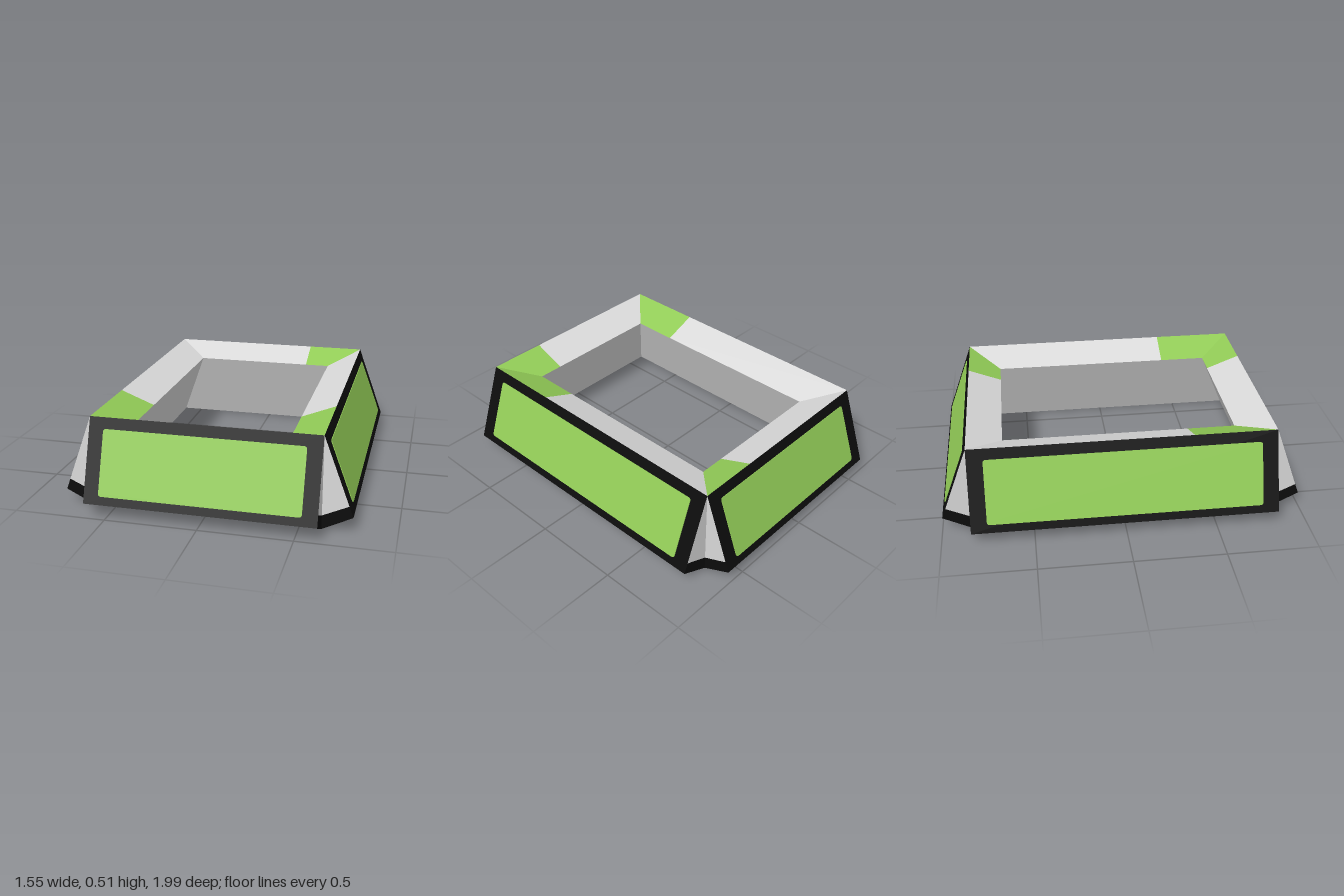
import * as THREE from 'three';

const mat = (name, color) => {
  const m = new THREE.MeshStandardMaterial({ color });
  m.name = name;
  return m;
};

// Flat convex polygon(s), each a counter-clockwise list of [x, y, z] corners
function polygons(name, material, ...faces) {
  const pos = [];
  for (const f of faces)
    for (let i = 1; i < f.length - 1; i++) pos.push(...f[0], ...f[i], ...f[i + 1]);
  const g = new THREE.BufferGeometry();
  g.setAttribute('position', new THREE.Float32BufferAttribute(pos, 3));
  g.computeVertexNormals();
  const mesh = new THREE.Mesh(g, material);
  mesh.name = name;
  return mesh;
}

function roundedRect(w, h, r) {
  const s = new THREE.Shape();
  s.absarc(w / 2 - r, h / 2 - r, r, 0, Math.PI / 2);
  s.absarc(-w / 2 + r, h / 2 - r, r, Math.PI / 2, Math.PI);
  s.absarc(-w / 2 + r, -h / 2 + r, r, Math.PI, Math.PI * 1.5);
  s.absarc(w / 2 - r, -h / 2 + r, r, Math.PI * 1.5, Math.PI * 2);
  s.closePath();
  return s;
}

export function createModel() {
  const green = mat('green', 0x92cc57);
  const grey = mat('light grey', 0xdadada);
  const black = mat('black', 0x0c0c0c);
  const topY = 0.51, outY = 0.08, inY = 0.435, inset = 0.19;

  // One wall facing +z: tilted four-sided section, mitred inside, square-ended outside
  function wall({ name, half: h, dist: d, out, turn, panelHalf, trim, cuts: [lo, hi] }) {
    const g = new THREE.Group();
    g.name = name;
    const hi0 = h - inset;
    const T = x => [x, topY, d], O = x => [x, outY, out];
    const B = x => [x, 0, d], I = x => [x, inY, d - inset];
    const mix = (a, b, t) => a.map((v, i) => v + (b[i] - v) * t);
    const strip = (P, Q, a, b, c = a, e = b) => [P(a), P(b), Q(e), Q(c)];

    // Outer face, underside and inner face
    g.add(polygons('panelFrame', black, strip(O, T, -h, h)));
    g.add(polygons('underside', grey, strip(B, O, -h + trim, h - trim)));
    if (trim) g.add(polygons('undersideTrim', black,
      strip(B, O, -h, -h + trim), strip(B, O, h - trim, h)));
    g.add(polygons('innerFace', grey, strip(I, B, -hi0, hi0, -h, h)));

    // Sloping top, with a green patch beyond either cut
    const a = lo ?? -h, b = hi ?? h;
    g.add(polygons('topSlope', grey, strip(T, I, a, b, lo ?? -hi0, hi ?? hi0)));
    if (lo !== null) g.add(polygons('topPatch', green, strip(T, I, -h, lo, -hi0, lo)));
    if (hi !== null) g.add(polygons('topPatch', green, strip(T, I, hi, h, hi, hi0)));

    // End caps with a black lower band
    for (const s of [1, -1]) {
      const x = s * h;
      const o = mix(O(x), T(x), 0.14), k = mix(B(x), T(x), 0.15);
      const order = f => (s > 0 ? f : f.reverse());
      g.add(polygons('endCap', grey, order([T(x), o, k])));
      g.add(polygons('endBand', black, order([o, O(x), B(x), k])));
    }

    // Green plate on the outer face
    const rise = topY - outY, lean = out - d;
    const y0 = 0.122, y1 = 0.453, yc = (y0 + y1) / 2;
    const height = (y1 - y0) * Math.hypot(rise, lean) / rise;
    const plate = new THREE.Mesh(new THREE.ExtrudeGeometry(
      roundedRect(panelHalf * 2, height, 0.015),
      { depth: 0.004, bevelEnabled: false, curveSegments: 3 }), green);
    plate.name = 'greenPanel';
    plate.position.set(0, yc, d + lean * (topY - yc) / rise);
    plate.rotation.x = -Math.atan2(lean, rise);
    g.add(plate);

    g.rotation.y = turn;
    return g;
  }

  const short = { half: 0.615, dist: 0.837, out: 0.995, panelHalf: 0.535, trim: 0 };
  const long = { half: 0.837, dist: 0.615, out: 0.775, panelHalf: 0.75, trim: 0.07 };
  const model = new THREE.Group();
  model.name = 'rectangularFrame';
  model.add(
    wall({ ...short, name: 'frontWall', turn: 0, cuts: [null, 0.28] }),
    wall({ ...long, name: 'leftWall', turn: Math.PI / 2, cuts: [-0.38, null] }),
    wall({ ...short, name: 'backWall', turn: Math.PI, cuts: [-0.28, null] }),
    wall({ ...long, name: 'rightWall', turn: -Math.PI / 2, cuts: [null, 0.38] }),
  );
  return model;
}
